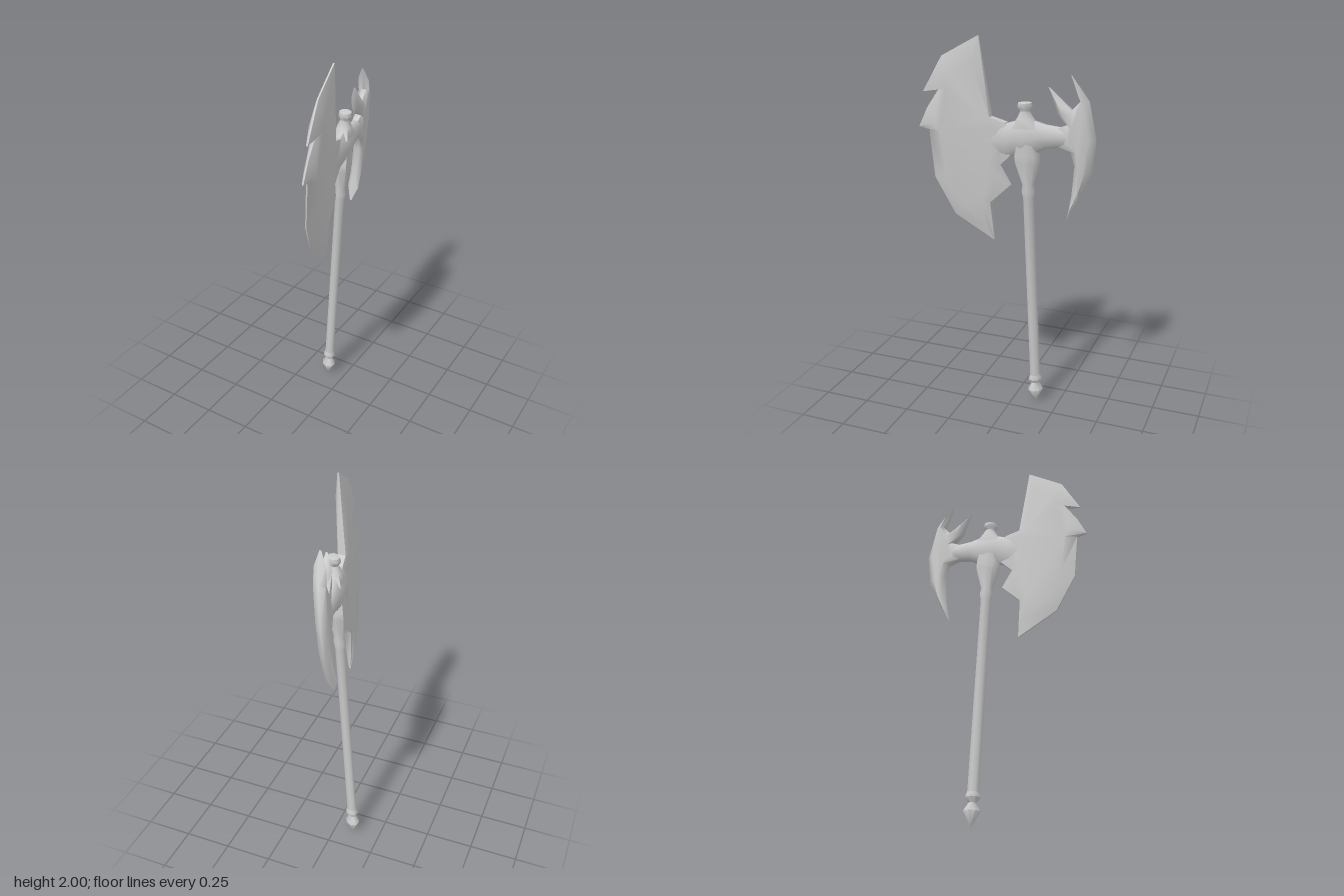
import * as THREE from 'three';
import { toCreasedNormals } from 'three/addons/utils/BufferGeometryUtils.js';

const material = new THREE.MeshStandardMaterial({ color: 0xcccccc });

// Every part is made around the plane x = 0, then leaned and turned by one shear.
function addPart(group, name, geometry) {
  const p = geometry.attributes.position;
  for (let i = 0; i < p.count; i++) {
    p.setX(i, p.getX(i) - 0.076 + 0.068 * p.getY(i) + 0.19 * p.getZ(i));
  }
  geometry.deleteAttribute('uv');
  const mesh = new THREE.Mesh(toCreasedNormals(geometry, Math.PI / 3), material);
  mesh.name = name;
  group.add(mesh);
}

function makeGeometry(positions, index) {
  const geometry = new THREE.BufferGeometry();
  geometry.setAttribute('position', new THREE.Float32BufferAttribute(positions, 3));
  geometry.setIndex(index);
  geometry.computeVertexNormals();
  return geometry;
}

// Bevelled plate. Each row: edge z, edge y, edge half thickness, inner z, inner y.
function plate(rows, half) {
  const n = rows.length, positions = [], index = [];
  for (const side of [1, -1]) {
    rows.forEach(([z, y, e]) => positions.push(side * e, y, z));
    rows.forEach(([, , , z, y]) => positions.push(side * half, y, z));
  }
  const inner = rows.map((r) => new THREE.Vector2(-r[3], r[4]));
  for (const [a, b, c] of THREE.ShapeUtils.triangulateShape(inner, [])) {
    index.push(n + a, n + b, n + c, 3 * n + a, 3 * n + c, 3 * n + b);
  }
  for (let i = 0; i < n; i++) {
    const j = (i + 1) % n, k = 2 * n;
    index.push(i, j, n + j, i, n + j, n + i); // bevel, left side
    index.push(k + i, k + n + j, k + j, k + i, k + n + i, k + n + j); // bevel, right side
    index.push(i, k + i, k + j, i, k + j, j); // rim
  }
  return makeGeometry(positions, index);
}

// Oval tube along z. Each row: z, centre y, half height, half width.
function ovalLoft(rows, sides) {
  const positions = [], index = [];
  rows.forEach(([z, cy, ry, rx], r) => {
    for (let s = 0; s < sides; s++) {
      const t = (s / sides) * Math.PI * 2;
      positions.push(rx * Math.cos(t), cy + ry * Math.sin(t), z);
      if (r === rows.length - 1) continue;
      const a = r * sides + s, b = r * sides + ((s + 1) % sides);
      index.push(a, a + sides, b, b, a + sides, b + sides);
    }
  });
  return makeGeometry(positions, index);
}

// Turned part standing on the leaning shaft line, flattened sideways at the head.
function turned(profile) {
  const geometry = new THREE.LatheGeometry(profile.map(([r, y]) => new THREE.Vector2(r, y)), 8);
  const p = geometry.attributes.position;
  for (let i = 0; i < p.count; i++) {
    p.setX(i, THREE.MathUtils.clamp(p.getX(i), -0.04, 0.04));
    p.setZ(i, p.getZ(i) - 0.125 + 0.02 * p.getY(i));
  }
  return geometry;
}

export function createModel() {
  const group = new THREE.Group();
  group.name = 'battleAxe';

  addPart(group, 'pommel', turned([
    [0, 0], [0.04, 0.075], [0.017, 0.115], [0.036, 0.14], [0.027, 0.165],
  ]));
  addPart(group, 'shaft', turned([
    [0.027, 0.16], [0.027, 1.2], [0.034, 1.235], [0.028, 1.27],
    [0.062, 1.385], [0.064, 1.42], [0.05, 1.5],
  ]));
  addPart(group, 'topKnob', turned([
    [0.075, 1.56], [0.04, 1.61], [0.023, 1.645], [0.037, 1.665], [0.033, 1.685], [0, 1.69],
  ]));

  // Arms joining both blades to the shaft
  addPart(group, 'headNeck', ovalLoft([
    [0.14, 1.49, 0.08, 0.018], [0.07, 1.49, 0.1, 0.029], [0, 1.495, 0.09, 0.036],
    [-0.05, 1.51, 0.09, 0.042], [-0.09, 1.51, 0.1, 0.045], [-0.14, 1.515, 0.085, 0.042],
    [-0.19, 1.52, 0.063, 0.037], [-0.26, 1.52, 0.052, 0.033], [-0.34, 1.52, 0.045, 0.022],
  ], 10));

  // Large front blade
  addPart(group, 'mainBlade', plate([
    [0.12, 2.0, 0.004, 0.145, 1.87], [0.3, 1.9, 0.004, 0.26, 1.82],
    [0.4, 1.725, 0.004, 0.325, 1.775], [0.31, 1.755, 0.01, 0.28, 1.745],
    [0.385, 1.645, 0.004, 0.335, 1.62], [0.43, 1.55, 0.004, 0.36, 1.57],
    [0.38, 1.535, 0.004, 0.325, 1.53], [0.365, 1.29, 0.004, 0.3, 1.31],
    [0.27, 1.095, 0.004, 0.22, 1.15], [0.075, 0.96, 0.004, 0.11, 1.06],
    [0.085, 1.17, 0.018, 0.12, 1.2], [-0.015, 1.265, 0.008, 0.05, 1.27],
    [0.04, 1.36, 0.018, 0.08, 1.36], [-0.02, 1.42, 0.018, 0.04, 1.43],
    [0, 1.585, 0.018, 0.04, 1.56], [0.075, 1.61, 0.02, 0.105, 1.6],
  ], 0.028));

  // Narrow hooked rear blade with two upper spikes
  addPart(group, 'rearBlade', plate([
    [-0.31, 1.825, 0.004, -0.34, 1.76], [-0.355, 1.7, 0.012, -0.365, 1.69],
    [-0.315, 1.655, 0.012, -0.33, 1.63], [-0.205, 1.765, 0.004, -0.25, 1.69],
    [-0.245, 1.64, 0.01, -0.27, 1.64], [-0.3, 1.585, 0.015, -0.315, 1.57],
    [-0.25, 1.565, 0.015, -0.3, 1.55], [-0.25, 1.475, 0.015, -0.3, 1.49],
    [-0.31, 1.45, 0.012, -0.335, 1.45], [-0.33, 1.38, 0.012, -0.35, 1.37],
    [-0.315, 1.22, 0.01, -0.34, 1.23], [-0.29, 1.09, 0.004, -0.315, 1.16],
    [-0.345, 1.2, 0.004, -0.35, 1.24], [-0.41, 1.34, 0.004, -0.385, 1.35],
    [-0.43, 1.51, 0.004, -0.4, 1.51], [-0.395, 1.7, 0.004, -0.38, 1.69],
  ], 0.03));

  return group;
}
